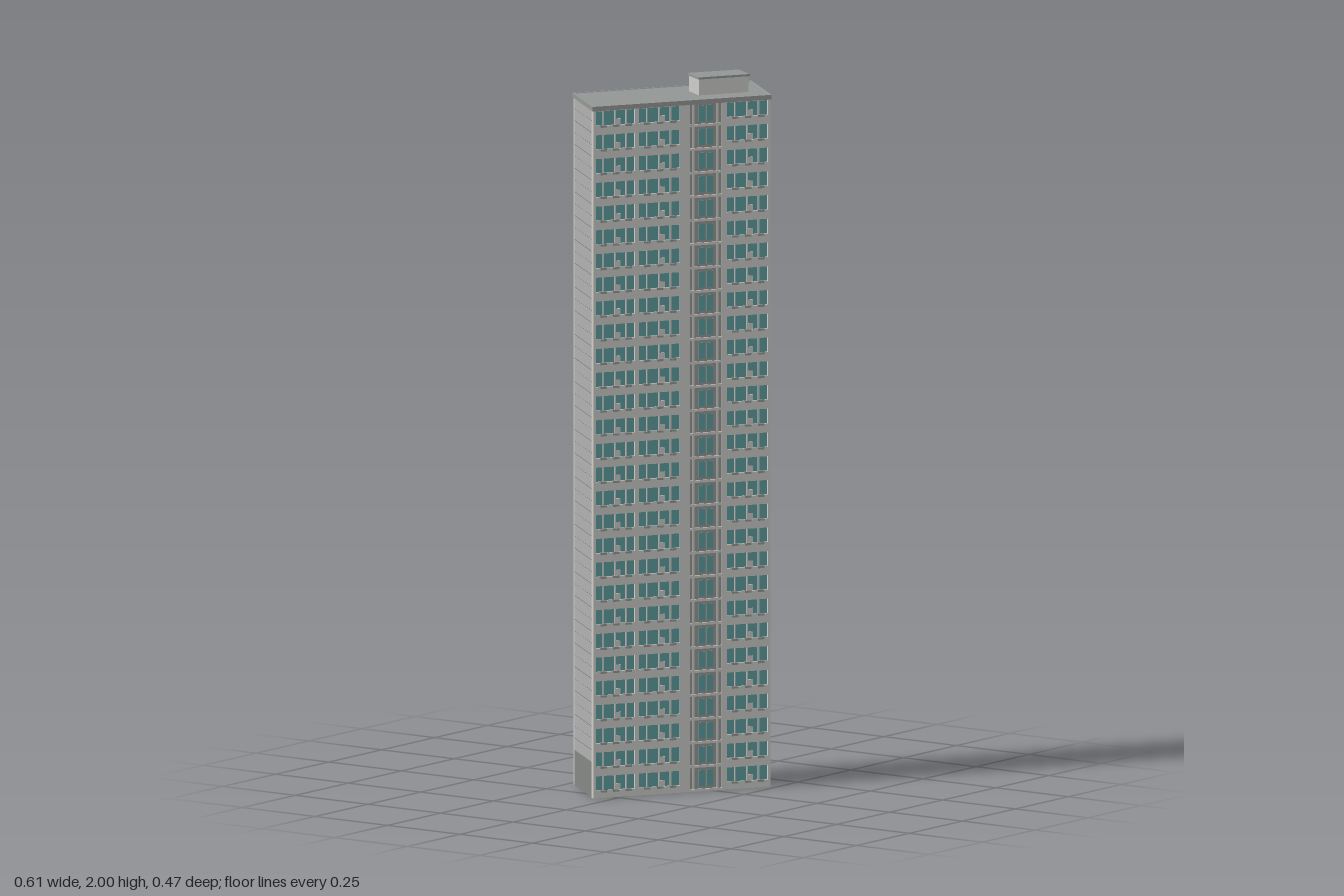
import * as THREE from 'three';
import { mergeGeometries } from 'three/addons/utils/BufferGeometryUtils.js';

const FLOORS = 29, TOP = 1.943, H = TOP / FLOORS;
// Slanted footprint corners as [x, z]: back left, back right, front right, front left
const A = [-0.147, -0.232], B = [0.304, 0.049], C = [0.147, 0.232], D = [-0.304, -0.049];

const mat = (name, color) => {
  const m = new THREE.MeshStandardMaterial({ color });
  m.name = name;
  return m;
};

export function createModel() {
  const M = {
    facade: mat('light concrete', 0xcdcdca),
    glass: mat('teal glass', 0x5f9ea0),
    stair: mat('stairwell grey', 0x979996),
    gable: mat('gable grey', 0xb0b2b0),
    base: mat('plinth grey', 0x868886),
    roof: mat('roof grey', 0x929796),
    joint: mat('dark joint', 0x6c6e6d),
  };
  const model = new THREE.Group();
  model.name = 'apartmentTower';

  const add = (parent, name, geo, material) => {
    const mesh = new THREE.Mesh(geo, material);
    mesh.name = name;
    parent.add(mesh);
    return mesh;
  };

  // Vertical prism over a footprint, optionally with a hole
  const prism = (name, pts, y0, y1, material, hole) => {
    const vec = (list) => list.map(([x, z]) => new THREE.Vector2(x, -z));
    const shape = new THREE.Shape(vec(pts));
    if (hole) shape.holes.push(new THREE.Path(vec(hole)));
    const geo = new THREE.ExtrudeGeometry(shape, { depth: y1 - y0, bevelEnabled: false });
    geo.rotateX(-Math.PI / 2).translate(0, y0, 0);
    return add(model, name, geo, material);
  };
  const lerp = (p, q, t) => [p[0] + (q[0] - p[0]) * t, p[1] + (q[1] - p[1]) * t];
  const scaled = (s) => [A, B, C, D].map(([x, z]) => [x * s, z * s]);

  // Wall frame: x runs left to right seen from outside, z points outward
  const wall = (name, from, to) => {
    const g = new THREE.Group();
    const dx = to[0] - from[0], dz = to[1] - from[1];
    g.name = name;
    g.position.set(from[0], 0, from[1]);
    g.rotation.y = Math.atan2(-dz, dx);
    g.userData.length = Math.hypot(dx, dz);
    model.add(g);
    return g;
  };

  // Collects boxes, given by their limits, and merges them into one mesh per part
  const collector = () => {
    const parts = {};
    return {
      box(part, x0, x1, y0, y1, z0, z1) {
        const b = new THREE.BoxGeometry(x1 - x0, y1 - y0, z1 - z0);
        b.translate((x0 + x1) / 2, (y0 + y1) / 2, (z0 + z1) / 2);
        (parts[part] ??= []).push(b);
      },
      flush(group, materials) {
        for (const part in parts) add(group, part, mergeGeometries(parts[part]), materials[part]);
      },
    };
  };

  // Core and plinth, set back behind the two long facades
  const s = 0.043;
  const inner = [lerp(A, D, s), lerp(B, C, s), lerp(C, B, s), lerp(D, A, s)];
  prism('plinth', inner, 0, 0.1, M.base);
  prism('core', inner, 0.1, TOP, M.gable);

  // Long facades: three window bays and one stair bay
  const bays = [[0.015, 0.235], [0.258, 0.49], [0.755, 0.985]];
  const piers = [[0, 0.015], [0.235, 0.258], [0.49, 0.545], [0.725, 0.755], [0.985, 1]];
  const buildFacade = (name, from, to) => {
    const g = wall(name, from, to), L = g.userData.length, c = collector();
    for (const [a, b] of piers) c.box('piers', a * L, b * L, 0, TOP, -0.012, 0);
    for (const [a, b] of bays) c.box('windows', a * L, b * L, 0, TOP, -0.012, -0.006);
    c.box('stairBay', 0.545 * L, 0.725 * L, 0, TOP, -0.012, -0.004);

    for (let i = 0; i < FLOORS; i++) {
      const y = i * H;
      for (const [a, b] of bays) {
        const x0 = a * L, w = (b - a) * L;
        // Spandrel with a sill, and a thin lintel under the next floor
        c.box('spandrels', x0, x0 + w, y, y + 0.021, -0.012, 0.001);
        c.box('spandrels', x0, x0 + w, y + H - 0.005, y + H, -0.012, 0.001);
        // Mullions and one closed panel in each bay
        for (const t of [0.2, 0.5, 0.78])
          c.box('mullions', x0 + t * w - 0.002, x0 + t * w + 0.002, y + 0.02, y + H - 0.004, -0.008, -0.002);
        c.box('mullions', x0 + 0.52 * w, x0 + 0.64 * w, y + 0.02, y + 0.038, -0.008, -0.003);
        // Small projecting ledges
        for (const t of [0.1, 0.42, 0.74])
          c.box('ledges', x0 + t * w, x0 + (t + 0.16) * w, y + 0.016, y + 0.022, -0.002, 0.005);
      }
      // Stair bay: narrow paired windows with a landing band
      for (const t of [0.597, 0.642])
        c.box('stairWindows', t * L, (t + 0.035) * L, y + 0.014, y + H - 0.008, -0.006, -0.002);
      for (const t of [0.562, 0.698])
        c.box('stairMullions', t * L, (t + 0.01) * L, y + 0.006, y + H, -0.006, -0.001);
      c.box('landings', 0.545 * L, 0.725 * L, y, y + 0.007, -0.006, 0.001);
    }
    c.flush(g, {
      piers: M.facade, windows: M.glass, stairBay: M.stair, spandrels: M.facade, mullions: M.facade,
      ledges: M.stair, stairWindows: M.glass, stairMullions: M.facade, landings: M.facade,
    });
  };
  buildFacade('frontFacade', D, C);
  buildFacade('backFacade', B, A);

  // Blank gables: floor joints and a grid of small anchor points
  const buildGable = (name, from, to) => {
    const g = wall(name, from, to), L = g.userData.length, c = collector();
    for (let i = 2; i < FLOORS; i++) {
      const y = i * H;
      c.box('floorJoints', 0.012, L - 0.012, y - 0.0005, y + 0.0005, -0.002, 0.0006);
      for (let k = 1; k < 10; k++) {
        const x = (k / 10) * L;
        c.box('anchors', x - 0.0015, x + 0.0015, y + H / 2 - 0.001, y + H / 2 + 0.001, -0.002, 0.0008);
      }
    }
    c.flush(g, { floorJoints: M.joint, anchors: M.joint });
  };
  buildGable('rightGable', C, B);
  buildGable('leftGable', A, D);

  // Roof slab and low rim
  prism('roofSlab', scaled(1.004), TOP - 0.003, 1.949, M.roof);
  prism('roofRim', scaled(1.01), TOP - 0.004, 1.952, M.stair, scaled(0.985));

  // Rooftop plant room
  const plant = new THREE.Group();
  plant.name = 'plantRoom';
  plant.position.set(0.12, 0, 0.073);
  plant.rotation.y = Math.atan2(D[1] - C[1], C[0] - D[0]);
  add(plant, 'plantWalls', new THREE.BoxGeometry(0.148, 0.046, 0.077), M.facade).position.y = 1.971;
  add(plant, 'plantRoof', new THREE.BoxGeometry(0.154, 0.006, 0.082), M.roof).position.y = 1.997;
  model.add(plant);

  return model;
}
